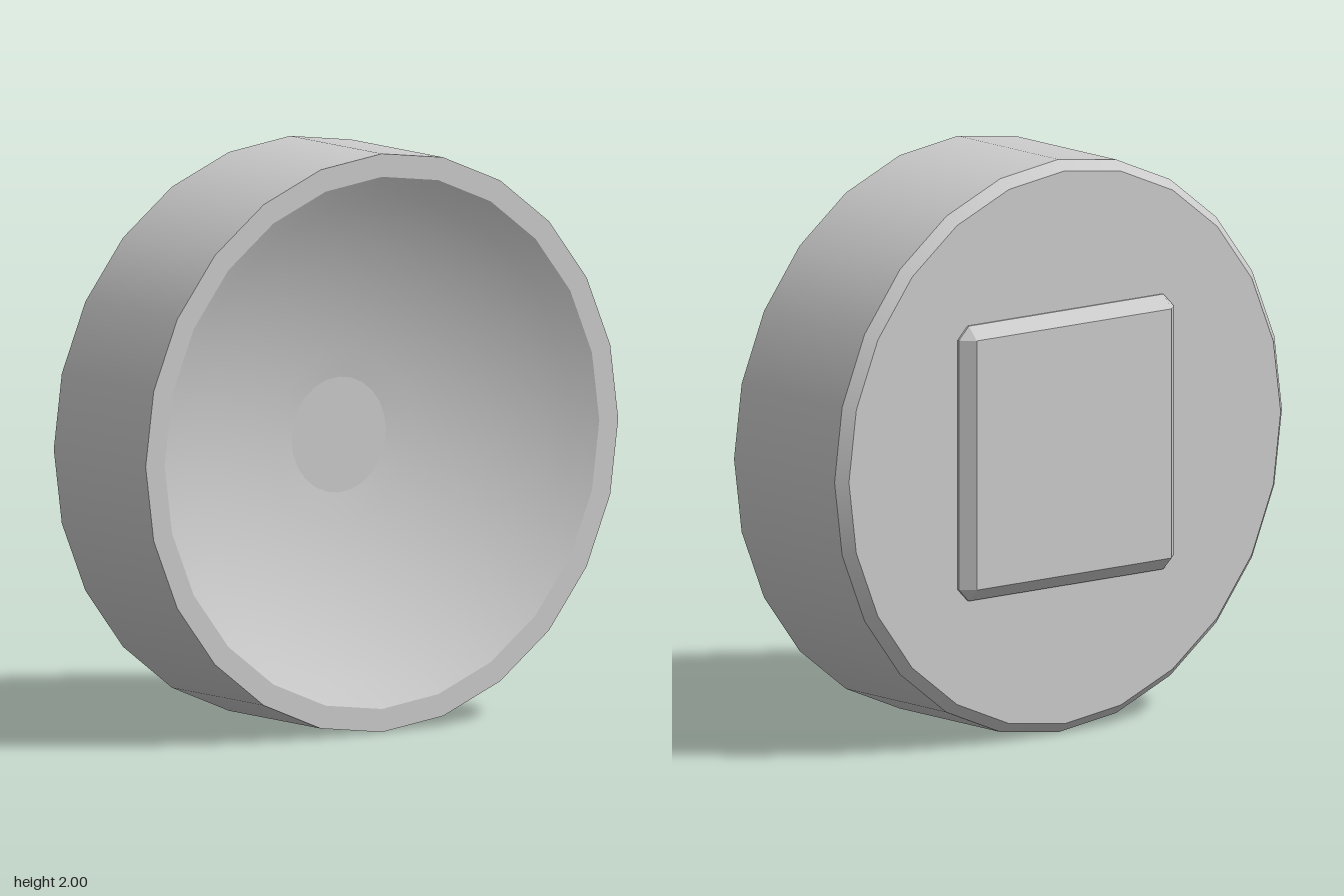
import * as THREE from 'three';
import { ConvexGeometry } from 'three/addons/geometries/ConvexGeometry.js';

const SIDES = 24;
const material = new THREE.MeshStandardMaterial({ color: 0xcccccc });

// Profile points are [radius, x]; the axis of revolution is x.
function turned(name, points) {
  const profile = points.map(([r, x]) => new THREE.Vector2(r, x));
  const geometry = new THREE.LatheGeometry(profile, SIDES);
  geometry.rotateZ(-Math.PI / 2);
  const mesh = new THREE.Mesh(geometry, material);
  mesh.name = name;
  return mesh;
}

// Circular arc from the rim down to the small flat floor
function bowlProfile(rimRadius, rimX, floorRadius, sphereRadius, steps) {
  const start = Math.asin(rimRadius / sphereRadius);
  const end = Math.asin(floorRadius / sphereRadius);
  const points = [];
  for (let i = 0; i <= steps; i++) {
    const a = start + ((end - start) * i) / steps;
    points.push([sphereRadius * Math.sin(a), rimX - sphereRadius * (Math.cos(a) - Math.cos(start))]);
  }
  return points;
}

export function createModel() {
  const model = new THREE.Group();
  model.name = 'roundDish';

  // Turned body, one mesh per sharp-edged band
  const bowl = bowlProfile(0.92, 0.31, 0.2, 1.74, 8);
  const [floorRadius, floorX] = bowl[bowl.length - 1];
  const body = new THREE.Group();
  body.name = 'dishBody';
  body.add(
    turned('backFace', [[0, -0.26], [0.965, -0.26]]),
    turned('backChamfer', [[0.965, -0.26], [1, -0.225]]),
    turned('outerWall', [[1, -0.225], [1, 0.31]]),
    turned('rim', [[1, 0.31], [0.92, 0.31]]),
    turned('bowl', bowl),
    turned('bowlFloor', [[floorRadius, floorX], [0, floorX]])
  );
  model.add(body);

  // Square mounting plate: bevelled edges, clipped corners and a thin straight foot
  const inner = 0.435, outer = 0.48;
  const corners = [];
  for (const sy of [-1, 1]) {
    for (const sz of [-1, 1]) {
      corners.push(new THREE.Vector3(-0.31, sy * inner, sz * inner));
      for (const x of [-0.267, -0.26]) {
        corners.push(
          new THREE.Vector3(x, sy * outer, sz * inner),
          new THREE.Vector3(x, sy * inner, sz * outer)
        );
      }
    }
  }
  const plate = new THREE.Mesh(new ConvexGeometry(corners), material);
  plate.name = 'mountingPlate';
  model.add(plate);

  model.position.y = 1;
  return model;
}
